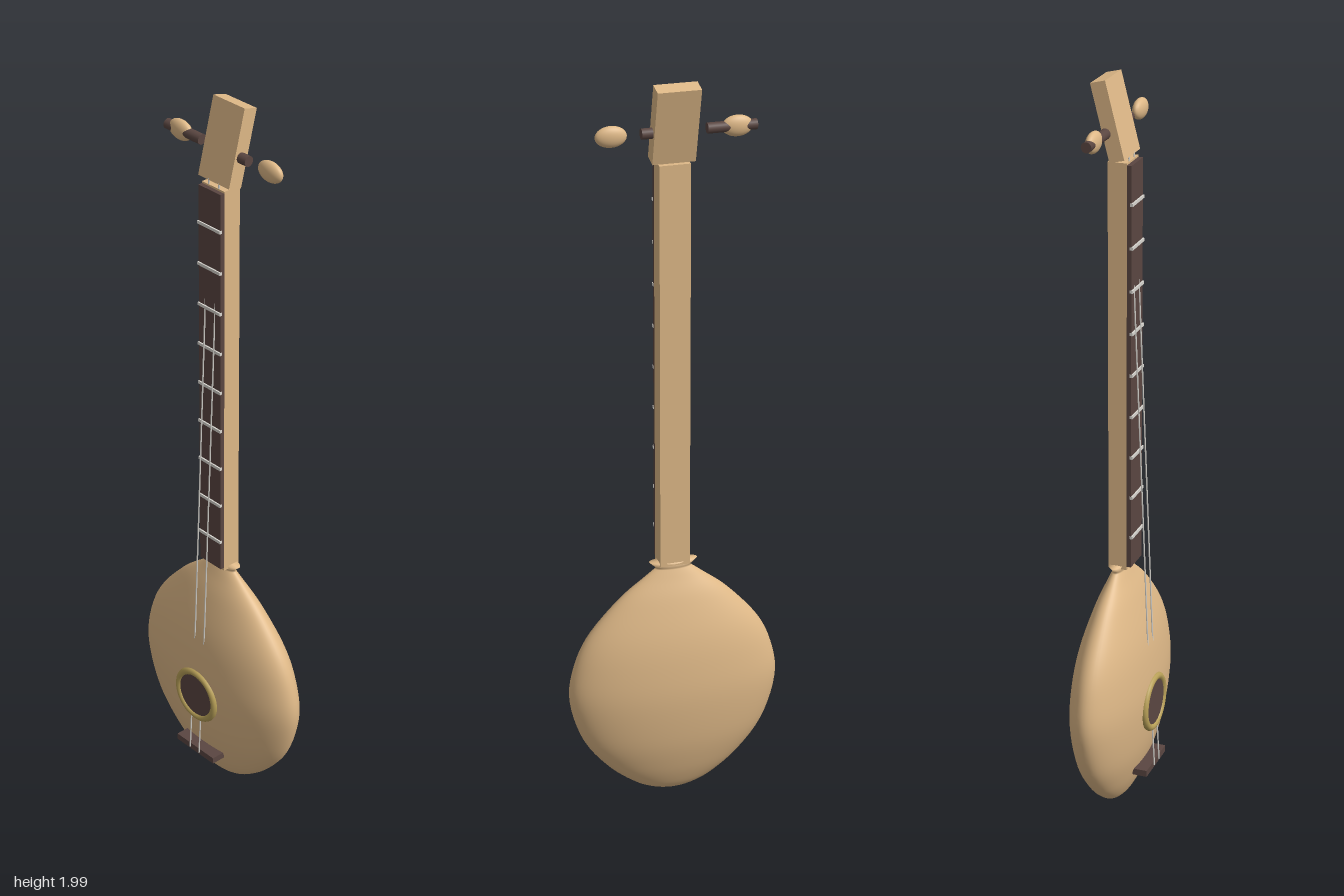
import * as THREE from 'three';

const wood = new THREE.MeshStandardMaterial({ name: 'paleWood', color: 0xdeb887 });
const dark = new THREE.MeshStandardMaterial({ name: 'darkWood', color: 0x5a4641 });
const gold = new THREE.MeshStandardMaterial({ name: 'brass', color: 0xb8a058 });
const silver = new THREE.MeshStandardMaterial({ name: 'silver', color: 0xd8d6d0 });

export function createModel() {
  const group = new THREE.Group();
  group.name = 'longNeckedLute';

  const add = (name, geometry, material, x = 0, y = 0, z = 0) => {
    const mesh = new THREE.Mesh(geometry, material);
    mesh.name = name;
    mesh.position.set(x, y, z);
    group.add(mesh);
    return mesh;
  };
  const box = (name, w, h, d, material, x, y, z) =>
    add(name, new THREE.BoxGeometry(w, h, d), material, x, y, z);

  // Pear-shaped body: a lathe flattened front to back, with a small collar on top
  const outline = new THREE.SplineCurve([
    [0, 0.008], [0.06, 0.022], [0.115, 0.05], [0.185, 0.11], [0.25, 0.2],
    [0.285, 0.32], [0.273, 0.42], [0.232, 0.51], [0.15, 0.605], [0.08, 0.663], [0.046, 0.69],
  ].map(([r, y]) => new THREE.Vector2(r, y)));
  const profile = outline.getPoints(48);
  profile[0].x = 0;
  profile.push(new THREE.Vector2(0.065, 0.708), new THREE.Vector2(0, 0.71));
  const body = add('body', new THREE.LatheGeometry(profile, 64), wood, 0, 0, -0.005);
  body.scale.z = 0.335;

  // Neck, fretboard and tilted headstock
  box('neck', 0.08, 1.095, 0.05, wood, 0, 1.2475, 0);
  box('fretboard', 0.08, 1.08, 0.012, dark, 0, 1.25, 0.031);
  const head = box('headstock', 0.11, 0.2, 0.04, wood, 0, 1.898, -0.02);
  head.rotation.x = -0.25;

  // Evenly spaced frets
  for (let i = 0; i < 9; i++) {
    box('fret', 0.082, 0.008, 0.008, silver, 0, 0.795 + i * 0.112, 0.037);
  }

  // Tuning pegs: shaft and oval knob on either side
  for (const [shaftX, knobX] of [[-0.146, -0.16], [0.02, 0.158]]) {
    const shaft = add('pegShaft', new THREE.CylinderGeometry(0.0135, 0.0135, 0.126, 20), dark, shaftX, 1.877, -0.014);
    shaft.rotation.z = Math.PI / 2;
    const knob = add('pegKnob', new THREE.SphereGeometry(1, 28, 20), wood, knobX, 1.877, -0.014);
    knob.scale.set(0.04, 0.027, 0.016);
  }

  // Sound hole with its rim
  const hole = add('soundHole', new THREE.CylinderGeometry(0.064, 0.064, 0.01, 40), dark, 0, 0.304, 0.088);
  hole.rotation.x = Math.PI / 2;
  add('soundHoleRim', new THREE.TorusGeometry(0.07, 0.01, 12, 48), gold, 0, 0.304, 0.088);

  // Bridge and the two strings
  box('bridge', 0.146, 0.018, 0.04, dark, 0, 0.122, 0.075);
  for (const x of [-0.018, 0.018]) {
    const path = new THREE.CurvePath();
    const points = [[0.12, 0.097], [0.49, 0.0765], [1.81, 0.022]].map(([y, z]) => new THREE.Vector3(x, y, z));
    path.add(new THREE.LineCurve3(points[0], points[1]));
    path.add(new THREE.LineCurve3(points[1], points[2]));
    add('string', new THREE.TubeGeometry(path, 32, 0.002, 6), silver);
  }
  return group;
}
